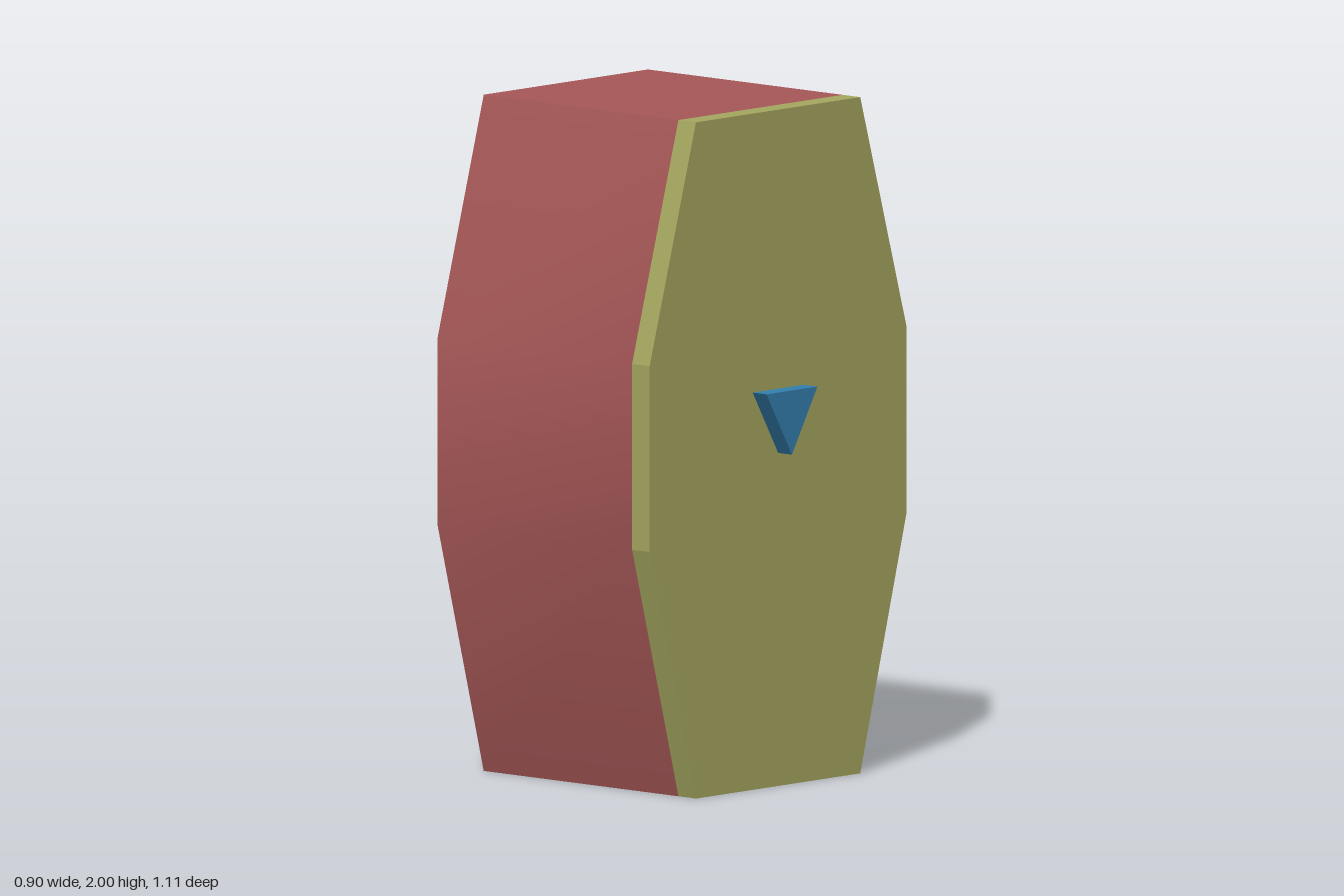
import * as THREE from 'three';
import { toCreasedNormals } from 'three/addons/utils/BufferGeometryUtils.js';

// Prism with a (z, y) outline, running along x from x0 to x1
function prism(name, outline, x0, x1, color, crease = 0) {
  const shape = new THREE.Shape(outline.map(([z, y]) => new THREE.Vector2(-z, y)));
  let geometry = new THREE.ExtrudeGeometry(shape, { depth: x1 - x0, bevelEnabled: false });
  geometry.rotateY(Math.PI / 2).translate(x0, 0, 0);
  if (crease) geometry = toCreasedNormals(geometry, crease);
  const mesh = new THREE.Mesh(geometry, new THREE.MeshStandardMaterial({ color }));
  mesh.name = name;
  return mesh;
}

export function createModel() {
  const group = new THREE.Group();
  group.name = 'cabinet';

  // Tall eight-sided outline shared by the body and the front panel
  const half = [[0.355, 0], [0.555, 0.75], [0.555, 1.3], [0.355, 2]];
  const outline = [...half, ...half.map(([z, y]) => [-z, y]).reverse()];

  // Body, softly shaded over its shallow side bends
  group.add(prism('body', outline, -0.45, 0.325, 0xa85858, Math.PI / 6));

  // Panel closing the left side
  group.add(prism('sidePanel', outline, 0.325, 0.395, 0xa6a860));

  // Small downward-pointing triangular knob
  group.add(prism('triangleKnob', [[-0.11, 1.175], [0.11, 1.175], [0, 0.985]], 0.395, 0.45, 0x3480b0));

  return group;
}
